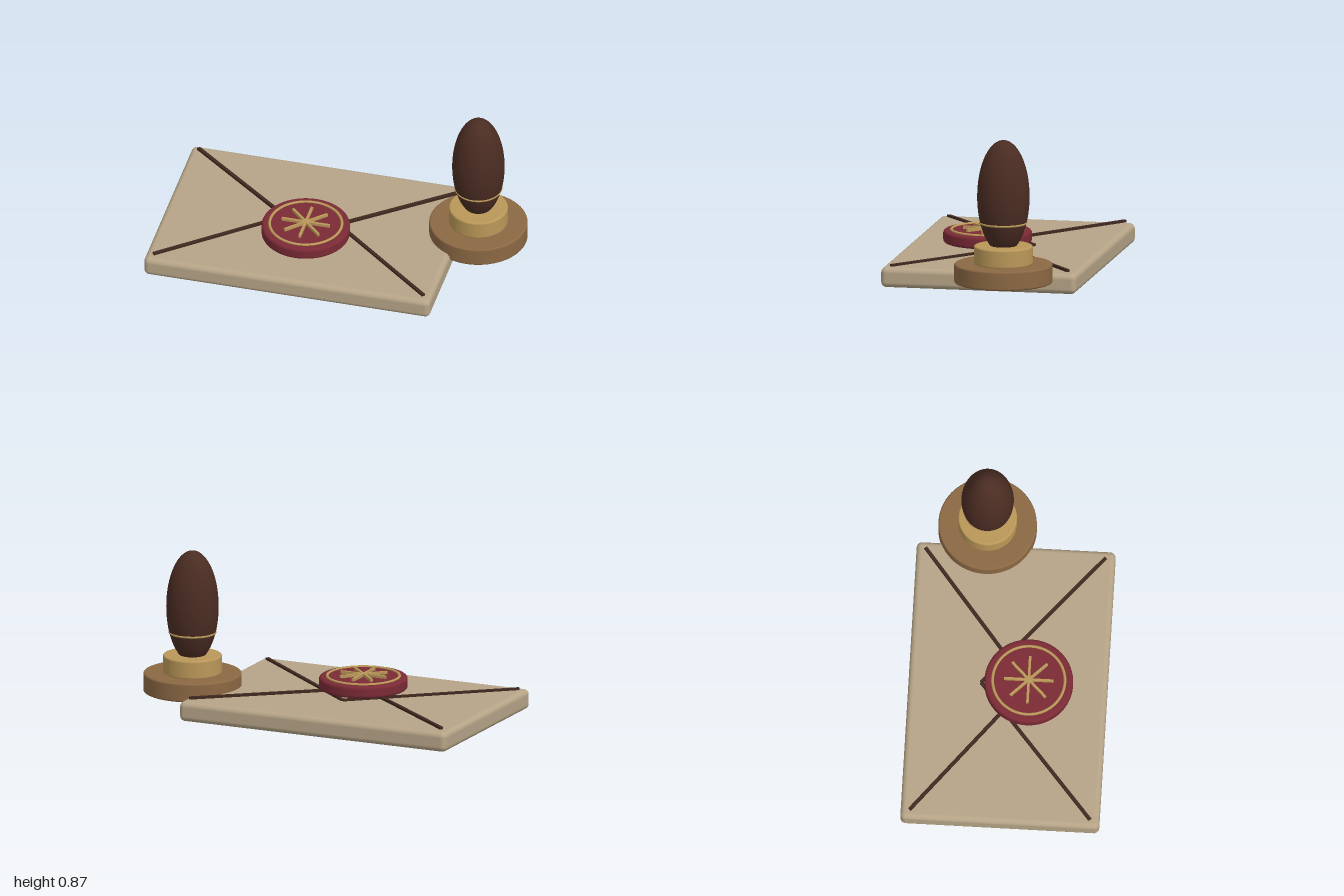
import * as THREE from 'three';
import { RoundedBoxGeometry } from 'three/addons/geometries/RoundedBoxGeometry.js';

const material = (name, color) => {
  const m = new THREE.MeshStandardMaterial({ color });
  m.name = name;
  return m;
};

export function createModel() {
  const model = new THREE.Group();
  const paper = material('paper', 0xb6a487);
  const wax = material('wax', 0x7a2a35);
  const brass = material('brass', 0xb99758);
  const wood = material('wood', 0x8b6843);
  const darkWood = material('dark wood', 0x4a2c22);
  const crease = material('crease', 0x402820);

  const add = (parent, name, geometry, mat, x = 0, y = 0, z = 0) => {
    const mesh = new THREE.Mesh(geometry, mat);
    mesh.name = name;
    mesh.position.set(x, y, z);
    parent.add(mesh);
    return mesh;
  };

  // Solid disc from y = 0 to h, with rounded rims
  const disc = (r, h, b) => {
    const pts = [[0, 0], [r - b - 0.003, 0]];
    for (let i = 0; i <= 6; i++) {
      const a = -Math.PI / 2 + (i / 6) * Math.PI / 2;
      pts.push([r - b + b * Math.cos(a), b + b * Math.sin(a)]);
    }
    pts.push([r, b + 0.003], [r, h - b - 0.003]);
    for (let i = 0; i <= 6; i++) {
      const a = (i / 6) * Math.PI / 2;
      pts.push([r - b + b * Math.cos(a), h - b + b * Math.sin(a)]);
    }
    pts.push([r - b - 0.003, h], [0, h]);
    return new THREE.LatheGeometry(pts.map(p => new THREE.Vector2(...p)), 64);
  };

  const ring = (r, tube) => new THREE.TorusGeometry(r, tube, 10, 64).rotateX(Math.PI / 2);

  // Envelope body
  add(model, 'envelope', new RoundedBoxGeometry(1.63, 0.112, 1.1, 5, 0.03), paper, -0.185, 0.056, 0);

  // Fold lines running from the corners to the middle
  const foldLine = (name, x0, z0, x1, z1, y, h) => {
    const dx = x1 - x0, dz = z1 - z0;
    const bar = add(model, name, new THREE.BoxGeometry(Math.hypot(dx, dz), h, 0.019), crease,
      (x0 + x1) / 2, y, (z0 + z1) / 2);
    bar.rotation.y = -Math.atan2(dz, dx);
  };
  const cx = -0.185;
  for (const side of [-1, 1]) {
    foldLine('topFlapFold', cx + side * 0.77, -0.5, cx, 0.11, 0.127, 0.014);
    foldLine('bottomFlapFold', cx + side * 0.77, 0.497, cx, -0.148, 0.119, 0.012);
  }

  // Wax seal with raised rim and eight-pointed star
  const seal = new THREE.Group();
  seal.name = 'seal';
  seal.position.set(cx, 0, 0.115);
  model.add(seal);
  add(seal, 'sealDisc', disc(0.245, 0.069, 0.016), wax, 0, 0.126, 0);
  add(seal, 'sealRing', ring(0.2, 0.008), brass, 0, 0.196, 0);
  for (let i = 0; i < 4; i++) {
    add(seal, 'starBar', new THREE.BoxGeometry(0.275, 0.018, 0.014), brass, 0, 0.202, 0)
      .rotation.y = i * Math.PI / 4;
  }

  // Hand stamp
  const stamp = new THREE.Group();
  stamp.name = 'stamp';
  stamp.position.set(0.727, 0, -0.165);
  model.add(stamp);
  add(stamp, 'stampBase', disc(0.272, 0.107, 0.01), wood, 0, 0.075, 0);
  add(stamp, 'stampCollar', disc(0.163, 0.105, 0.01), brass, 0, 0.178, 0);
  add(stamp, 'handle', new THREE.SphereGeometry(1, 48, 32).scale(0.145, 0.317, 0.145), darkWood, 0, 0.556, 0);
  add(stamp, 'handleRing', ring(0.126, 0.007), brass, 0, 0.41, 0);

  return model;
}
